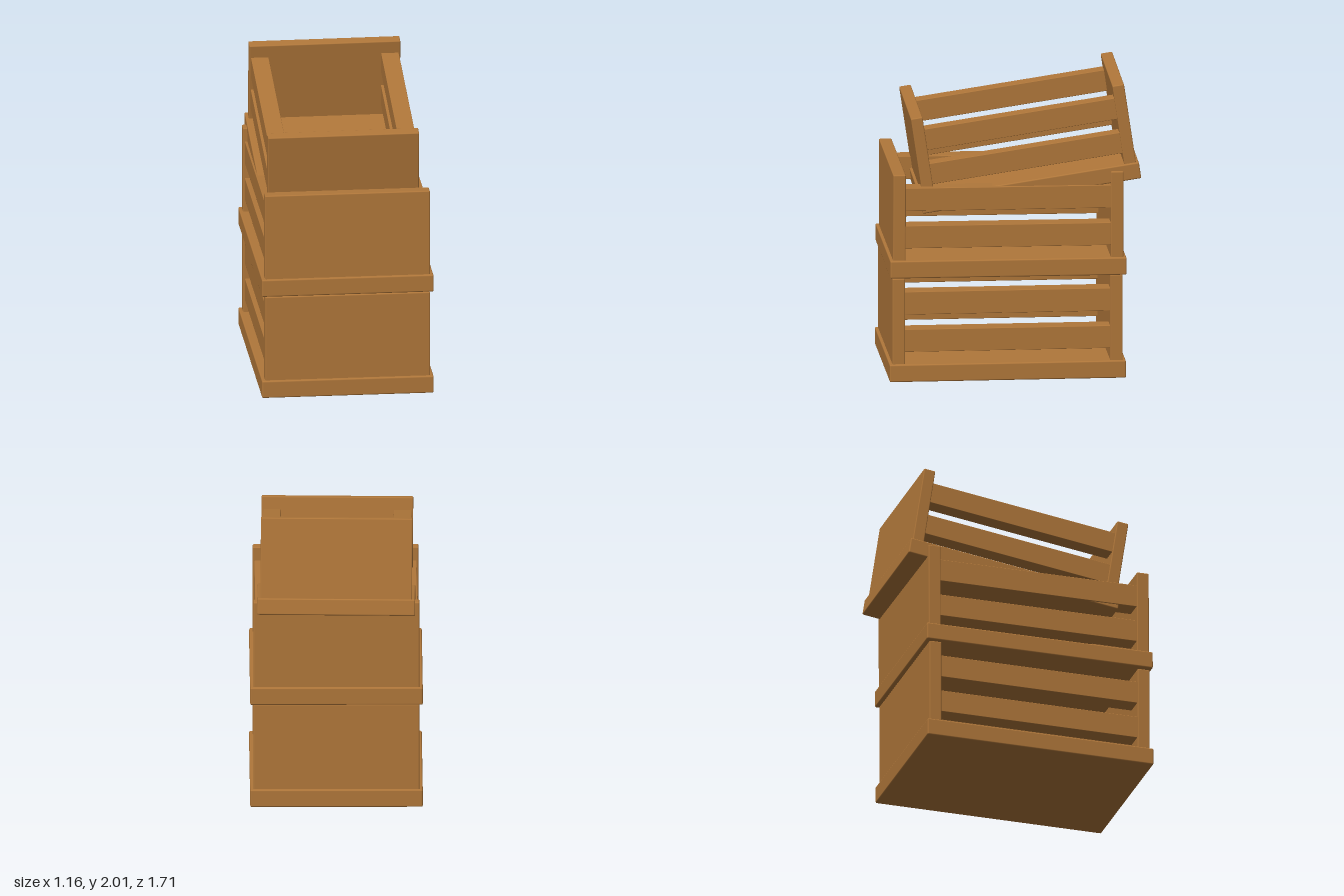
import * as THREE from 'three';
import { RoundedBoxGeometry } from 'three/addons/geometries/RoundedBoxGeometry.js';

export function createModel() {
  const wood = new THREE.MeshStandardMaterial({ color: 0xb0773a });
  wood.name = 'wood';

  // Board given by its min and max along each axis, with a small eased edge
  function board(name, [x0, x1], [y0, y1], [z0, z1], radius) {
    const geometry = new RoundedBoxGeometry(x1 - x0, y1 - y0, z1 - z0, 2, radius);
    const mesh = new THREE.Mesh(geometry, wood);
    mesh.name = name;
    mesh.position.set((x0 + x1) / 2, (y0 + y1) / 2, (z0 + z1) / 2);
    return mesh;
  }

  // Open crate: thick floor, two solid end panels, two slats on each side
  function crate(name) {
    const group = new THREE.Group();
    group.name = name;
    group.add(board('base', [-0.58, 0.58], [0, 0.12], [-0.797, 0.797], 0.01));
    group.add(board('frontPanel', [-0.557, 0.557], [0.11, 0.708], [0.692, 0.777], 0.008));
    group.add(board('backPanel', [-0.557, 0.557], [0.11, 0.708], [-0.777, -0.692], 0.008));
    for (const [label, side] of [['left', 1], ['right', -1]]) {
      [[0.2, 0.355], [0.457, 0.614]].forEach((span, i) => {
        const xs = side > 0 ? [0.415, 0.545] : [-0.545, -0.415];
        group.add(board(`${label}Slat${i + 1}`, xs, span, [-0.695, 0.695], 0.004));
      });
    }
    return group;
  }

  const model = new THREE.Group();
  model.name = 'crateStack';

  const bottom = crate('bottomCrate');
  bottom.position.set(0, 0, 0.057);

  const middle = crate('middleCrate');
  middle.position.set(0, 0.712, 0.053);
  middle.rotation.x = -0.003;

  // Smaller crate resting askew, tipped forward into the middle one
  const top = crate('topCrate');
  top.scale.set(0.915, 0.925, 0.935);
  top.position.set(-0.002, 1.25, -0.115);
  top.rotation.set(0.148, -0.008, 0.008);

  model.add(bottom, middle, top);
  return model;
}
